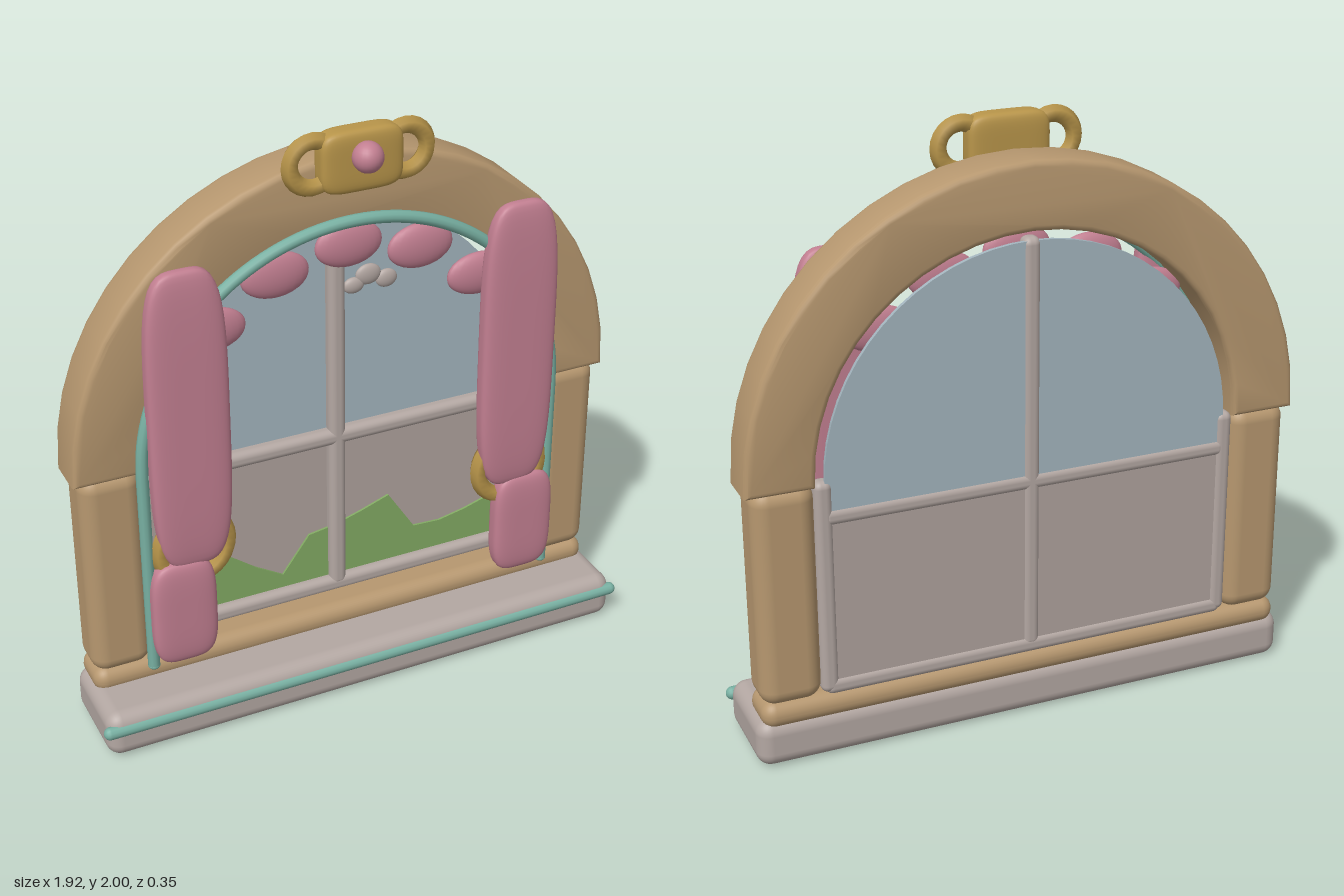
import * as THREE from 'three';
import { mergeVertices, toCreasedNormals } from 'three/addons/utils/BufferGeometryUtils.js';
import { RoundedBoxGeometry } from 'three/addons/geometries/RoundedBoxGeometry.js';

const paint = (name, color) => {
  const m = new THREE.MeshStandardMaterial({ color });
  m.name = name;
  return m;
};

// Pillow: a divided cube projected onto a superellipsoid, smooth all over
function pillowGeometry(w, h, d, n) {
  let g = new THREE.BoxGeometry(2, 2, 2, 14, 14, 14);
  g.deleteAttribute('normal');
  g.deleteAttribute('uv');
  g = mergeVertices(g);
  const p = g.attributes.position;
  for (let i = 0; i < p.count; i++) {
    const c = [p.getX(i), p.getY(i), p.getZ(i)];
    const k = c.reduce((sum, a) => sum + Math.abs(a) ** n, 0) ** (-1 / n);
    p.setXYZ(i, c[0] * k * w / 2, c[1] * k * h / 2, c[2] * k * d / 2);
  }
  g.computeVertexNormals();
  return g;
}

export function createModel() {
  const wood = paint('wood', 0xb6976f);
  const stone = paint('stone', 0xb3a7a2);
  const pink = paint('pink fabric', 0xc27f91);
  const teal = paint('teal trim', 0x78b0a2);
  const gold = paint('gold', 0xb8954a);
  const sky = paint('sky glass', 0xa3b5be);
  const wall = paint('lower glass', 0xafa29d);
  const grass = paint('grass', 0x82aa63);

  const root = new THREE.Group();
  root.name = 'archedWindow';

  const add = (name, geometry, material, x = 0, y = 0, z = 0) => {
    const mesh = new THREE.Mesh(geometry, material);
    mesh.name = name;
    mesh.position.set(x, y, z);
    root.add(mesh);
    return mesh;
  };
  // Rounded box given by its extents
  const box = (name, material, [x0, x1], [y0, y1], [z0, z1], r) =>
    add(name, new RoundedBoxGeometry(x1 - x0, y1 - y0, z1 - z0, 4, r), material,
      (x0 + x1) / 2, (y0 + y1) / 2, (z0 + z1) / 2);
  const ellipsoid = (name, material, x, y, z, rx, ry, rz) =>
    add(name, new THREE.SphereGeometry(1, 24, 16), material, x, y, z).scale.set(rx, ry, rz);
  const plate = (shape, depth) =>
    new THREE.ExtrudeGeometry(shape, { depth, bevelEnabled: false, curveSegments: 16 });

  // Sill with trim bar, and lower rail
  box('sill', stone, [-0.945, 0.945], [0, 0.165], [-0.178, 0.165], 0.05);
  add('sillTrim', new THREE.CapsuleGeometry(0.022, 1.876, 6, 12), teal, 0, 0.11, 0.154)
    .rotation.z = Math.PI / 2;
  box('lowerRail', wood, [-0.925, 0.925], [0.135, 0.228], [-0.178, -0.004], 0.045);

  // Arch, bevelled all round
  const arch = new THREE.Shape();
  arch.absellipse(0, 0, 0.925, 0.908, 0, Math.PI, false);
  arch.absellipse(0, 0, 0.74, 0.725, Math.PI, 0, true);
  arch.closePath();
  const archGeometry = new THREE.ExtrudeGeometry(arch, {
    depth: 0.134, curveSegments: 12, bevelThickness: 0.02, bevelSize: 0.02, bevelSegments: 3,
  });
  add('arch', toCreasedNormals(archGeometry, 0.7), wood, 0, 0.965, -0.157);

  // Glass and painted landscape, set near the back
  const skyShape = new THREE.Shape();
  skyShape.moveTo(-0.69, 0.82);
  skyShape.lineTo(0.69, 0.82);
  skyShape.lineTo(0.69, 0.95);
  skyShape.absarc(0, 0.95, 0.69, 0, Math.PI, false);
  skyShape.closePath();
  add('skyPane', plate(skyShape, 0.014), sky, 0, 0, -0.16);
  add('lowerPane', new THREE.BoxGeometry(1.38, 0.58, 0.014), wall, 0, 0.53, -0.153);

  const ridge = [0.38, 0.43, 0.47, 0.46, 0.385, 0.325, 0.46, 0.475, 0.505, 0.54,
    0.385, 0.38, 0.4, 0.43, 0.4];
  const hills = new THREE.Shape();
  hills.moveTo(-0.69, 0.24);
  hills.lineTo(0.69, 0.24);
  for (let i = ridge.length - 1; i >= 0; i--) {
    hills.lineTo(THREE.MathUtils.clamp(-0.7 + i * 0.1, -0.69, 0.69), ridge[i]);
  }
  hills.closePath();
  add('hills', plate(hills, 0.008), grass, 0, 0, -0.146);

  [[0.066, 1.375, 0.037, 0.028], [0.118, 1.405, 0.045, 0.036], [0.183, 1.378, 0.038, 0.032]]
    .forEach(([x, y, rx, ry]) => ellipsoid('cloud', stone, x, y, -0.138, rx, ry, 0.016));

  // Glazing bars
  const barZ = [-0.168, -0.108];
  box('verticalBar', stone, [-0.03, 0.03], [0.24, 1.65], barZ, 0.024);
  box('horizontalBar', stone, [-0.7, 0.7], [0.807, 0.865], barZ, 0.024);
  box('bottomBar', stone, [-0.71, 0.71], [0.215, 0.275], barZ, 0.024);

  // Teal cord around the opening
  const cord = new THREE.CurvePath();
  const v = (x, y) => new THREE.Vector3(x, y, 0.012);
  const arcPoints = [];
  for (let i = 0; i <= 24; i++) {
    const a = Math.PI * (1 - i / 24);
    arcPoints.push(v(0.73 * Math.cos(a), 0.95 + 0.728 * Math.sin(a)));
  }
  cord.add(new THREE.LineCurve3(v(-0.73, 0.22), v(-0.73, 0.95)));
  cord.add(new THREE.CatmullRomCurve3(arcPoints));
  cord.add(new THREE.LineCurve3(v(0.73, 0.95), v(0.73, 0.22)));
  add('cord', new THREE.TubeGeometry(cord, 120, 0.02, 10), teal);

  // Middle scallop of the valance
  ellipsoid('scallop', pink, 0, 1.58, -0.035, 0.115, 0.077, 0.032);

  // Mirrored pairs
  for (const s of [-1, 1]) {
    const span = (a, b) => (s > 0 ? [a, b] : [-b, -a]);
    box('jamb', wood, span(0.72, 0.925), [0.215, 0.965], [-0.178, -0.004], 0.055);
    box('sideBar', stone, span(0.665, 0.725), [0.225, 0.96], barZ, 0.024);
    ellipsoid('cordEnd', teal, s * 0.73, 0.22, 0.012, 0.02, 0.012, 0.02);

    ellipsoid('scallop', pink, s * 0.25, 1.525, -0.035, 0.115, 0.077, 0.032);
    ellipsoid('scallop', pink, s * 0.465, 1.383, -0.035, 0.115, 0.074, 0.032);

    add('curtain', pillowGeometry(0.267, 1.045, 0.08, 4), pink, s * 0.578, 1.12, 0.035);
    add('curtainTail', pillowGeometry(0.222, 0.385, 0.08, 4), pink, s * 0.625, 0.43, 0.035);
    add('tieback', new THREE.TorusGeometry(0.117, 0.029, 6, 28), gold, s * 0.575, 0.655, 0.022);

    add('crestHandle', new THREE.TorusGeometry(0.074, 0.028, 6, 24), gold, s * 0.153, 1.9, 0.04);
  }

  // Crest
  add('crest', pillowGeometry(0.272, 0.2, 0.088, 5), gold, 0, 1.898, 0.042);
  add('crestGem', new THREE.SphereGeometry(0.049, 24, 16), pink, 0, 1.92, 0.102);

  return root;
}
